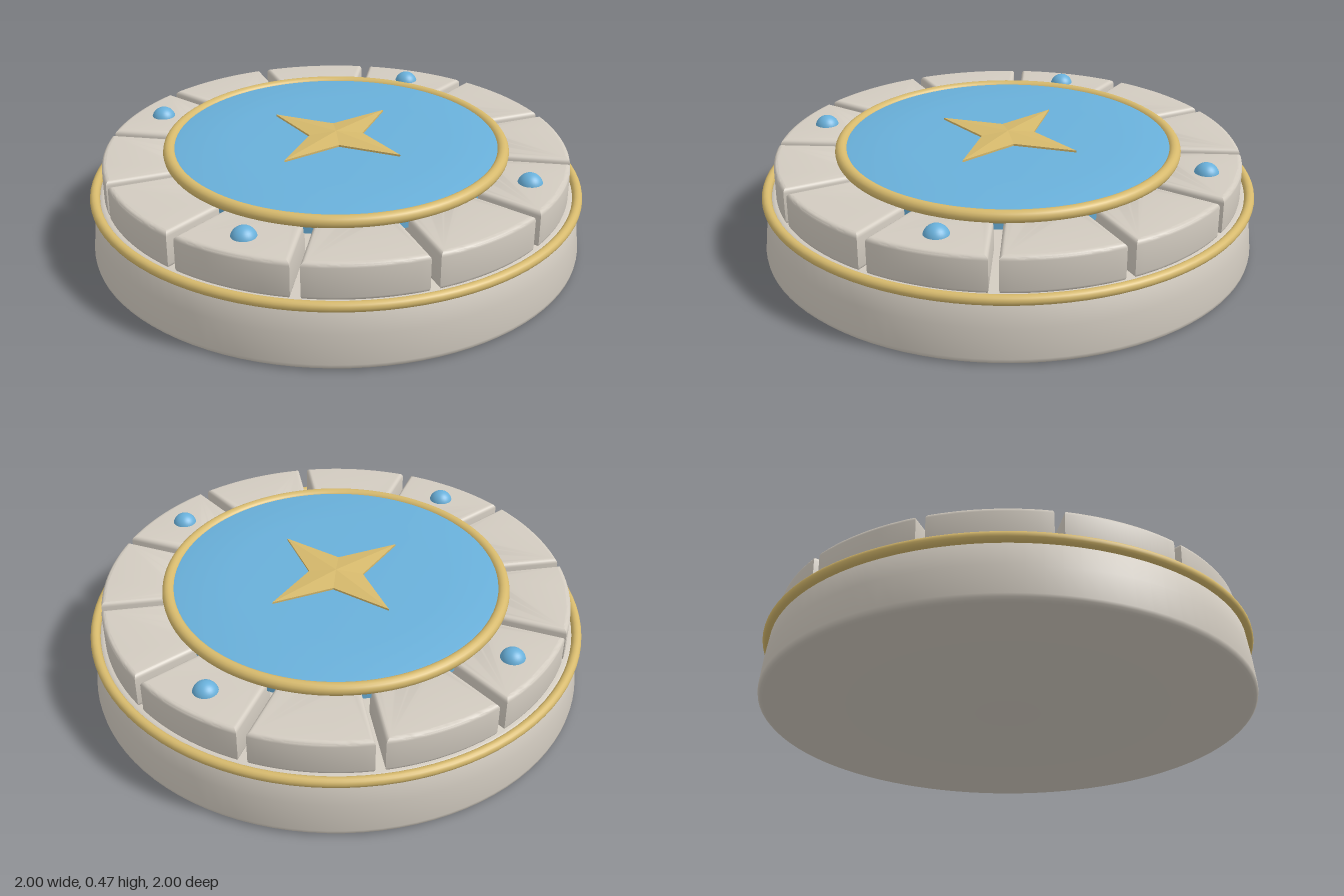
import * as THREE from 'three';
import { toCreasedNormals } from 'three/addons/utils/BufferGeometryUtils.js';

const material = (name, color) => {
  const m = new THREE.MeshStandardMaterial({ color });
  m.name = name;
  return m;
};

// Surface of revolution from [radius, height] pairs, listed bottom to top
const lathe = (points, segments = 96) =>
  new THREE.LatheGeometry(points.map(([r, y]) => new THREE.Vector2(r, y)), segments);

// Bevelled block following the ring, centred on angle 0
function stoneGeometry() {
  const bevel = 0.018, inner = 0.66, outer = 0.922, half = Math.PI / 12;
  const pad = 0.018 + bevel; // half gap plus bevel, constant along the joint
  const a = half - pad / outer, b = half - pad / inner;
  const shape = new THREE.Shape();
  shape.absarc(0, 0, outer, -a, a, false);
  shape.absarc(0, 0, inner, b, -b, true);
  shape.closePath();
  const g = new THREE.ExtrudeGeometry(shape, {
    depth: 0.15 - 2 * bevel, bevelEnabled: true, bevelSize: bevel,
    bevelThickness: bevel, bevelSegments: 4, curveSegments: 12,
  });
  g.rotateX(-Math.PI / 2);
  g.translate(0, 0.245 + bevel, 0);
  return toCreasedNormals(g, 0.6);
}

// Four-pointed star: an eight-sided double pyramid with every other corner pulled in
function starGeometry() {
  const g = lathe([[0, 0.432], [1, 0.444], [1, 0.452], [0, 0.466]], 8);
  const p = g.attributes.position;
  for (let i = 0; i < p.count; i++) {
    const corner = Math.floor(i / 4); // four profile points per step
    const r = corner % 2 ? 0.108 : 0.32;
    p.setXYZ(i, p.getX(i) * r, p.getY(i), p.getZ(i) * r);
  }
  const flat = g.toNonIndexed();
  flat.computeVertexNormals();
  return flat;
}

export function createModel() {
  const stone = material('paleStone', 0xd2cbc0);
  const gold = material('gold', 0xd6b96c);
  const blue = material('blueEnamel', 0x69b0da);

  const model = new THREE.Group();
  model.name = 'roundPedestal';
  const add = (name, geometry, mat, parent = model) => {
    const mesh = new THREE.Mesh(geometry, mat);
    mesh.name = name;
    parent.add(mesh);
    return mesh;
  };

  // Tapered foot with a rounded lower edge
  const foot = lathe([[0, 0], [0.975, 0], [0.988, 0.004], [0.996, 0.012], [0.998, 0.025],
    [0.985, 0.14], [0.97, 0.235], [0.96, 0.248], [0.945, 0.252], [0, 0.252]]);
  add('base', toCreasedNormals(foot, 0.7), stone);

  // Gold bands
  const band = (name, radius, tube, y) => {
    const g = new THREE.TorusGeometry(radius, tube, 16, 96);
    g.rotateX(Math.PI / 2);
    add(name, g, gold).position.y = y;
  };
  band('outerBand', 0.978, 0.02, 0.25);
  band('innerBand', 0.672, 0.025, 0.412);

  // Ring of twelve stones, every third one carrying a gem
  const ring = new THREE.Group();
  ring.name = 'stoneRing';
  model.add(ring);
  const block = stoneGeometry();
  const gem = new THREE.SphereGeometry(0.05, 32, 20);
  for (let i = 0; i < 12; i++) {
    const angle = Math.PI / 12 + i * Math.PI / 6;
    add('stone', block, stone, ring).rotation.y = angle;
    if (i % 3 === 0) {
      add('gem', gem, blue, ring)
        .position.set(0.81 * Math.cos(angle), 0.382, -0.81 * Math.sin(angle));
    }
  }

  // Slightly domed disc and its star
  const disc = lathe([[0, 0.358], [0.67, 0.358], [0.67, 0.42], [0.64, 0.428],
    [0.42, 0.437], [0.2, 0.441], [0, 0.442]]);
  add('disc', toCreasedNormals(disc, 0.6), blue);
  add('star', starGeometry(), gold);

  return model;
}
